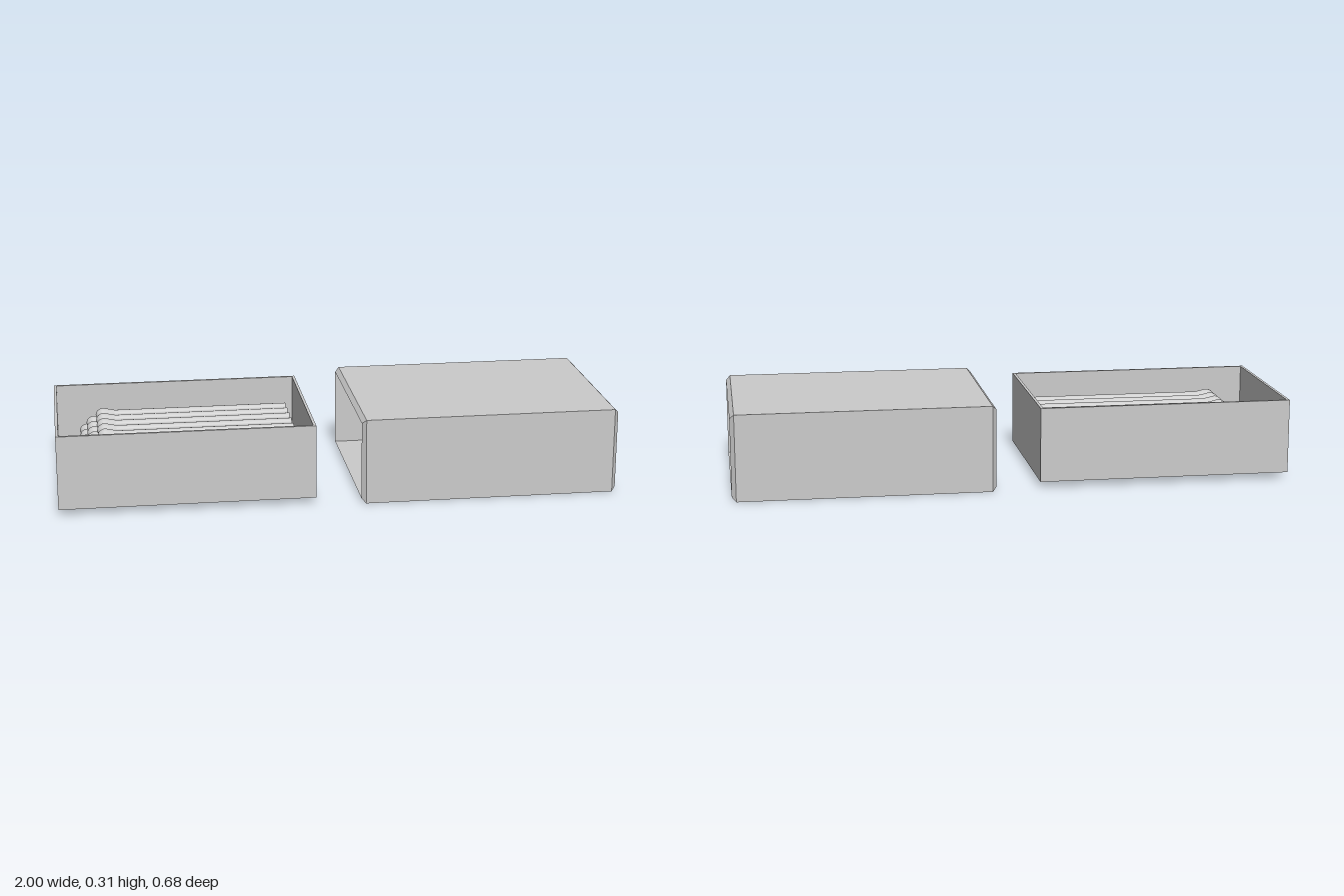
import * as THREE from 'three';

const grey = new THREE.MeshStandardMaterial({ color: 0xcccccc });

function part(name, geometry, x = 0, y = 0, z = 0) {
  const mesh = new THREE.Mesh(geometry, grey);
  mesh.name = name;
  mesh.position.set(x, y, z);
  return mesh;
}

// Rectangle centred on the origin, as a list of corners
function corners(w, h) {
  return [[-w, -h], [w, -h], [w, h], [-w, h]].map(([a, b]) => new THREE.Vector2(a / 2, b / 2));
}

// Rectangular frame of the given wall thickness, extruded along z
function frame(w, h, wall, depth) {
  const shape = new THREE.Shape(corners(w, h));
  shape.holes.push(new THREE.Path(corners(w - 2 * wall, h - 2 * wall).reverse()));
  return new THREE.ExtrudeGeometry(shape, { depth, bevelEnabled: false });
}

// Open-ended sleeve whose ends slope from the inner edge to the outer face
function makeSleeve() {
  const w = 0.68, h = 0.31, wall = 0.015, length = 0.93, chamfer = 0.015;
  const geometry = frame(w, h, wall, length);
  const pos = geometry.attributes.position;
  for (let i = 0; i < pos.count; i++) {
    if (Math.abs(pos.getX(i)) > w / 2 - 0.001) {
      pos.setZ(i, pos.getZ(i) < length / 2 ? chamfer : length - chamfer);
    }
  }
  geometry.rotateY(Math.PI / 2);
  geometry.computeVertexNormals();
  return part('sleeve', geometry, 0.07, h / 2, 0);
}

// Open-topped tray: four walls and a thin floor
function makeTray() {
  const length = 0.91, depth = 0.628, wall = 0.01, bottom = 0.022, top = 0.29;
  const tray = new THREE.Group();
  tray.name = 'tray';
  const walls = frame(length, depth, wall, top - bottom).rotateX(-Math.PI / 2);
  tray.add(part('trayWalls', walls, -0.545, bottom, 0));
  const floor = new THREE.BoxGeometry(length - 2 * wall, wall, depth - 2 * wall);
  tray.add(part('trayFloor', floor, -0.545, bottom + wall / 2, 0));
  return tray;
}

// Stacked layers of matches, each layer shifted a little from the one below
function makeMatches() {
  const stickLength = 0.68, pitch = 0.0625;
  const stick = new THREE.CylinderGeometry(0.016, 0.016, stickLength, 12).rotateZ(Math.PI / 2);
  const profile = new THREE.SplineCurve([
    [0, 0], [0.014, 0.005], [0.023, 0.019], [0.024, 0.031], [0.02, 0.05], [0.016, 0.07],
  ].map(([r, t]) => new THREE.Vector2(r, t))).getPoints(12);
  profile[0].x = 0;
  const head = new THREE.LatheGeometry(profile, 14).rotateZ(-Math.PI / 2);

  const layers = [
    { y: 0.062, tip: -0.91, z: -0.233, count: 8 },
    { y: 0.098, tip: -0.91, z: -0.233, count: 8 },
    { y: 0.134, tip: -0.91, z: -0.233, count: 8 },
    { y: 0.17, tip: -0.885, z: -0.212, count: 7 },
    { y: 0.206, tip: -0.85, z: -0.19, count: 7 },
  ];
  const matches = new THREE.Group();
  matches.name = 'matches';
  for (const layer of layers) {
    for (let i = 0; i < layer.count; i++) {
      const match = new THREE.Group();
      match.name = 'match';
      match.position.set(layer.tip, layer.y, layer.z + i * pitch);
      match.add(part('matchHead', head));
      match.add(part('matchStick', stick, 0.03 + stickLength / 2));
      matches.add(match);
    }
  }
  return matches;
}

export function createModel() {
  const model = new THREE.Group();
  model.name = 'matchbox';
  model.add(makeSleeve(), makeTray(), makeMatches());
  return model;
}
